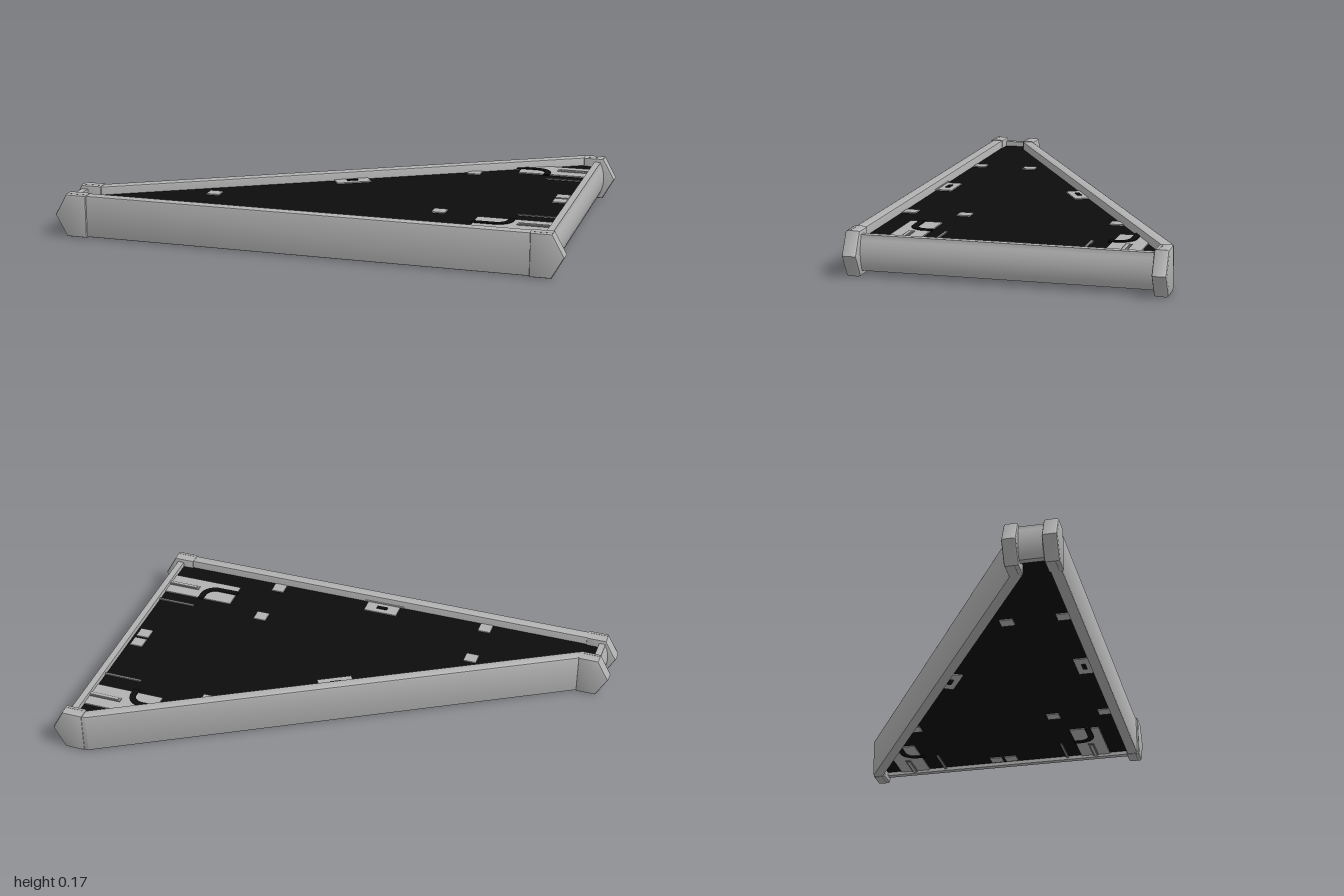
import * as THREE from 'three';
import { toCreasedNormals } from 'three/addons/utils/BufferGeometryUtils.js';

const H = 0.17;              // overall height
const MID = H / 2;
const PANEL = 0.05;          // half thickness of the recessed panel

const mat = (name, color) => {
  const m = new THREE.MeshStandardMaterial({ color });
  m.name = name;
  return m;
};

const shapeOf = (pts) => new THREE.Shape(pts.map(([x, y]) => new THREE.Vector2(x, y)));

// Bevelled extrusion whose outer size stays that of the shape
const extrude = (shape, depth, bevel = 0) => {
  const geo = new THREE.ExtrudeGeometry(shape, {
    depth: depth - 2 * bevel, curveSegments: 10,
    bevelEnabled: bevel > 0, bevelSize: bevel, bevelThickness: bevel,
    bevelOffset: -bevel, bevelSegments: 2,
  });
  geo.translate(0, 0, bevel);
  return toCreasedNormals(geo, 0.6);
};

// Plan outline in (x, z) extruded upward from y
const plan = (shape, y, h, bevel = 0) =>
  extrude(shape, h, bevel).rotateX(-Math.PI / 2).translate(0, y, 0);
const planShape = (pts) => shapeOf(pts.map(([x, z]) => [x, -z]));

export function createModel() {
  const model = new THREE.Group();
  model.name = 'triangularPanel';
  const grey = mat('light grey', 0xb2b2b2);
  const dark = mat('mid grey', 0x858585);
  const black = mat('black', 0x0c0c0c);

  const add = (name, geo, material, parent = model) => {
    const mesh = new THREE.Mesh(geo, material);
    mesh.name = name;
    parent.add(mesh);
    return mesh;
  };

  // Recessed infill panel
  add('panel', plan(planShape([
    [-0.93, 0.56], [0.925, 0.56], [0.925, -0.57], [0.87, -0.575], [-0.87, 0.425], [-0.93, 0.44],
  ]), MID - PANEL, 2 * PANEL), black);

  // Long straight rail and the diagonal rail
  add('frontRail', plan(planShape([
    [-0.92, 0.592], [0.92, 0.592], [0.92, 0.548], [-0.92, 0.548],
  ]), 0.002, H - 0.004, 0.006), grey);
  add('diagonalRail', plan(planShape([
    [-0.90, 0.445], [-0.86, 0.445], [0.885, -0.562], [0.885, -0.596], [0.855, -0.596], [-0.875, 0.403],
  ]), 0.002, H - 0.004, 0.006), grey);

  // Pointed end caps with a thin seam line on top
  const cap = (name, side, z, depth) => {
    const pts = [[0.87, 0], [0.953, 0], [1, MID], [0.953, H], [0.87, H]].map(([x, y]) => [x * side, y]);
    add(name, extrude(shapeOf(pts), depth, 0.009).translate(0, 0, z), grey);
    for (const y of [0.0005, H - 0.0005]) {
      add('capSeam', new THREE.BoxGeometry(0.07, 0.002, 0.004)
        .translate(side * 0.915, y, z + depth * 0.7), dark);
    }
  };
  cap('frontLeftCap', 1, 0.543, 0.057);
  cap('frontRightCap', -1, 0.543, 0.057);
  cap('backLeftCap', 1, -0.6, 0.055);
  cap('backRightCap', -1, 0.397, 0.055);

  // Bowed side rails, lower than the other two
  const sideRail = (name, side, x, z0, z1) => {
    const s = new THREE.Shape();
    s.moveTo(0, 0.02);
    s.lineTo(0.026, 0.02);
    s.quadraticCurveTo(0.056, MID, 0.026, 0.15);
    s.lineTo(0.026, 0.155);
    s.lineTo(0, 0.155);
    s.closePath();
    const geo = extrude(s, z1 - z0);
    if (side < 0) geo.rotateY(Math.PI).translate(0, 0, z1 - z0);
    add(name, geo.translate(x, 0, z0), grey);
  };
  sideRail('leftRail', 1, 0.915, -0.56, 0.56);
  sideRail('rightRail', -1, -0.925, 0.44, 0.56);

  // Fittings repeated on the upper and lower faces
  for (const face of [1, -1]) {
    const group = new THREE.Group();
    group.name = face > 0 ? 'upperFittings' : 'lowerFittings';
    model.add(group);
    const level = (layer) => MID + face * (PANEL + 0.002 + layer * 0.003);
    const box = (name, x, z, w, d, material, layer = 0, parent = group) =>
      add(name, new THREE.BoxGeometry(w, 0.005, d).translate(x, level(layer), z), material, parent);
    const flat = (name, shape, material, layer = 0) =>
      add(name, plan(shape, level(layer) - 0.0025, 0.005), material, group);

    // Square pads
    for (const [x, z] of [[-0.45, 0.3], [-0.45, 0.518], [0.463, 0.518], [0.463, 0.3],
      [0.463, -0.3], [0.877, -0.035], [0.877, 0.03]]) {
      box('pad', x, z, 0.052, 0.052, grey);
    }

    // Latches at the middle of the long rails
    const latch = (name, x, z, angle) => {
      const g = new THREE.Group();
      g.name = name;
      g.position.set(x, 0, z);
      g.rotation.y = angle;
      group.add(g);
      box('latchPlate', 0, 0, 0.14, 0.065, grey, 0, g);
      box('latchFoot', 0, 0.04, 0.17, 0.024, grey, 1, g);
      box('latchSlot', 0, 0, 0.045, 0.017, black, 1, g);
    };
    latch('frontLatch', 0, 0.515, 0);
    latch('diagonalLatch', 0.018, -0.035, Math.PI + Math.PI / 6);

    // Corner plates beside the left rail
    flat('frontCornerPlate', planShape([[0.62, 0.34], [0.62, 0.465], [0.915, 0.465], [0.915, 0.34]]), grey);
    flat('backCornerPlate', planShape([
      [0.635, -0.43], [0.635, -0.35], [0.915, -0.35], [0.915, -0.48], [0.73, -0.48]]), grey);

    for (const s of [1, -1]) {
      // Curved channel across the corner plate
      const band = new THREE.Shape();
      const cx = 0.70, cy = -s * 0.365;
      band.moveTo(0.615, cy - s * 0.065);
      band.lineTo(cx, cy - s * 0.065);
      band.absarc(cx, cy, 0.065, -s * Math.PI / 2, 0, s < 0);
      band.lineTo(0.765, cy + s * 0.03);
      band.lineTo(0.74, cy + s * 0.03);
      band.absarc(cx, cy, 0.04, 0, -s * Math.PI / 2, s > 0);
      band.lineTo(0.615, cy - s * 0.04);
      flat('cornerChannel', band, black, 1);

      // Slotted tab with a lighter core, and a narrow strip
      const tabZ = s > 0 ? 0.403 : -0.418;
      box('tabSlot', 0.85, tabZ, 0.13, 0.024, dark, 1);
      box('tabCore', 0.855, tabZ, 0.12, 0.013, grey, 2);
      box('edgeStrip', 0.838, s * 0.277, 0.155, 0.01, dark, 1);
    }
  }
  return model;
}
